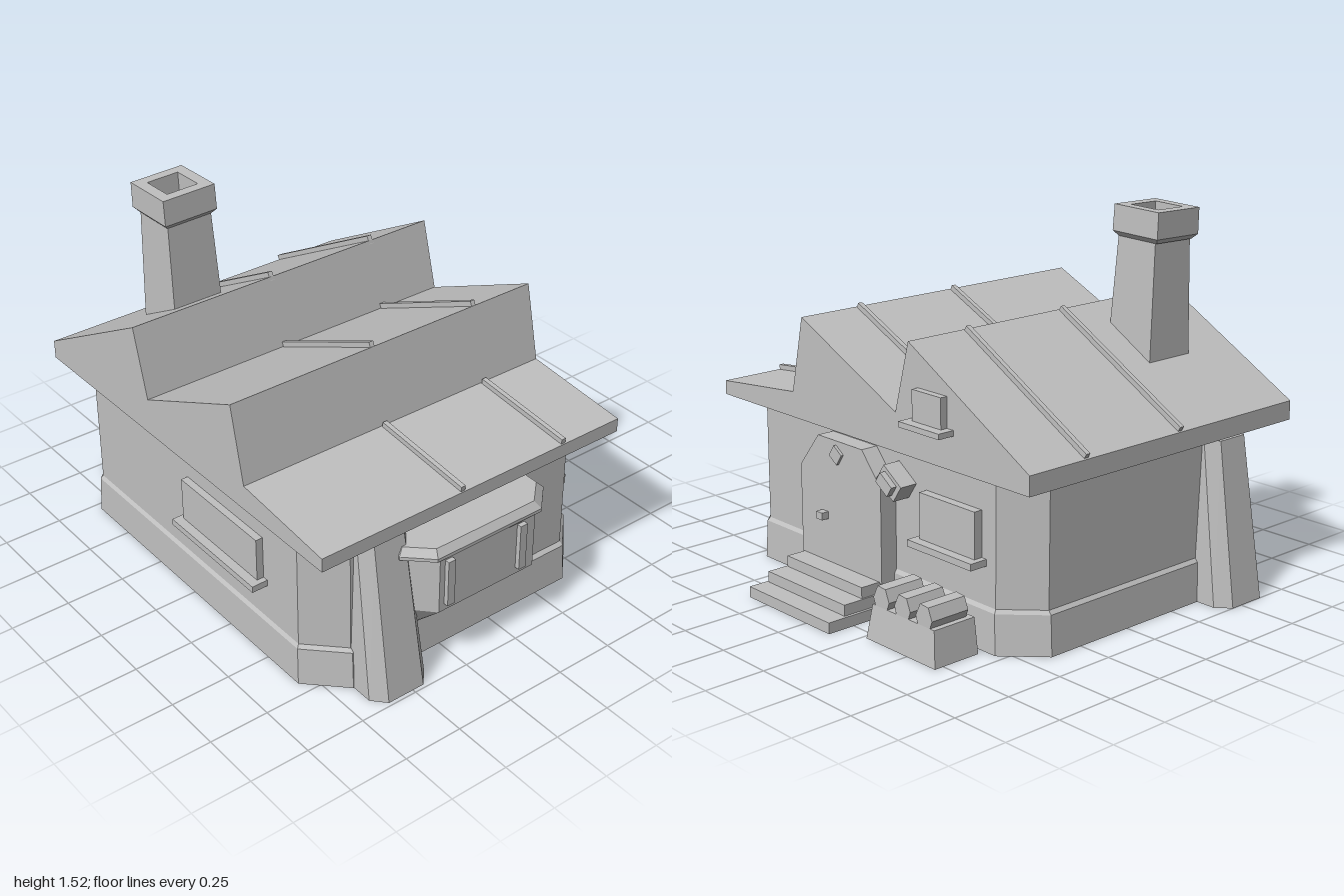
import * as THREE from 'three';

const stone = new THREE.MeshStandardMaterial({ color: 0xc0c0c0, side: THREE.DoubleSide });
stone.name = 'plain grey';

// Rings run front, right, back, left (counter-clockwise from above)
const rect = (x0, x1, z0, z1) => [[x0, z1], [x1, z1], [x1, z0], [x0, z0]];
const octagon = (x0, x1, z0, z1, c) => [
  [x0 + c, z1], [x1 - c, z1], [x1, z1 - c], [x1, z0 + c],
  [x1 - c, z0], [x0 + c, z0], [x0, z0 + c], [x0, z1 - c]];
// Projection from the +x wall with chamfered outer corners
const jut = (xi, xm, xo, z0, z1, c) => [
  [xi, z1], [xm, z1], [xo, z1 - c], [xo, z0 + c], [xm, z0], [xi, z0]];

// Faceted solid through rings given as [y, ring]
function loft(name, rings, capBottom = true, capTop = true) {
  const pos = [];
  const pts = rings.map(([y, r]) => r.map(([x, z]) => [x, y, z]));
  const tri = (a, b, c) => pos.push(...a, ...b, ...c);
  const n = pts[0].length;
  for (let j = 0; j < pts.length - 1; j++) {
    for (let i = 0; i < n; i++) {
      const k = (i + 1) % n;
      tri(pts[j][i], pts[j][k], pts[j + 1][k]);
      tri(pts[j][i], pts[j + 1][k], pts[j + 1][i]);
    }
  }
  const top = pts[pts.length - 1];
  for (let i = 1; i < n - 1; i++) {
    if (capTop) tri(top[0], top[i], top[i + 1]);
    if (capBottom) tri(pts[0][0], pts[0][i + 1], pts[0][i]);
  }
  const g = new THREE.BufferGeometry();
  g.setAttribute('position', new THREE.Float32BufferAttribute(pos, 3));
  g.computeVertexNormals();
  return named(name, g);
}

function named(name, geometry) {
  const m = new THREE.Mesh(geometry, stone);
  m.name = name;
  return m;
}

function box(name, x0, x1, y0, y1, z0, z1) {
  const m = named(name, new THREE.BoxGeometry(x1 - x0, y1 - y0, z1 - z0));
  m.position.set((x0 + x1) / 2, (y0 + y1) / 2, (z0 + z1) / 2);
  return m;
}

// Outline in x, y pulled along z
function extrude(name, points, z0, z1) {
  const shape = new THREE.Shape(points.map(([x, y]) => new THREE.Vector2(x, y)));
  const m = named(name, new THREE.ExtrudeGeometry(shape, { depth: z1 - z0, bevelEnabled: false }));
  m.position.z = z0;
  return m;
}

export function createModel() {
  const house = new THREE.Group();
  house.name = 'house';

  // Walls on a flared plinth, open underneath
  house.add(loft('walls', [
    [0, octagon(-0.86, 0.84, -0.548, 0.815, 0.147)],
    [0.16, octagon(-0.85, 0.83, -0.543, 0.81, 0.145)],
    [0.175, octagon(-0.837, 0.815, -0.533, 0.8, 0.137)],
    [0.67, octagon(-0.837, 0.815, -0.533, 0.8, 0.137)],
  ], false, false));

  // Sawtooth roof
  const slopes = [
    [[-0.92, 0.748], [-0.276, 1.11]],
    [[-0.2, 0.825], [0.366, 1.09]],
    [[0.434, 0.775], [0.9, 0.728]],
  ];
  house.add(extrude('roof', [[-0.92, 0.67], [0.9, 0.67], ...slopes.flat().reverse()], -0.58, 0.853));

  // Raised seams across each slope
  for (const [a, b] of slopes) {
    const dx = b[0] - a[0], dy = b[1] - a[1];
    for (const z of [-0.295, 0.205]) {
      const seam = named('roofSeam', new THREE.BoxGeometry(Math.hypot(dx, dy) - 0.01, 0.036, 0.02));
      seam.position.set((a[0] + b[0]) / 2, (a[1] + b[1]) / 2 + 0.003, z);
      seam.rotation.z = Math.atan2(dy, dx);
      house.add(seam);
    }
  }

  // Chimney with a hollow cap
  house.add(loft('chimneyStack', [
    [0.88, rect(-0.605, -0.375, 0.368, 0.597)],
    [1.41, rect(-0.596, -0.404, 0.395, 0.593)],
  ]));
  const flue = rect(-0.07, 0.07, -0.07, 0.07);
  const cap = loft('chimneyCap', [
    [-0.065, rect(-0.1, 0.1, -0.1, 0.1)],
    [-0.045, rect(-0.117, 0.117, -0.118, 0.118)],
    [0.06, rect(-0.115, 0.115, -0.117, 0.117)],
    [0.06, flue], [-0.04, flue],
  ]);
  cap.position.set(-0.506, 1.457, 0.495);
  cap.rotation.set(0.02, 0, 0.03);
  house.add(cap);

  // Leaning side buttresses, mirrored about the wall centre
  const low = jut(0.78, 0.93, 0.985, 0.4, 0.665, 0.05);
  const high = jut(0.76, 0.83, 0.88, 0.427, 0.645, 0.04);
  const mirror = r => r.map(([x, z]) => [-0.015 - x, z]).reverse();
  house.add(loft('rightSideButtress', [[0, low], [0.653, high]]));
  house.add(loft('leftSideButtress', [[0, mirror(low)], [0.653, mirror(high)]]));

  // Bay window on the +x wall
  const bay = new THREE.Group();
  bay.name = 'bayWindow';
  bay.add(loft('bayBody', [
    [0.16, jut(0.79, 0.82, 0.83, -0.11, 0.395, 0.02)],
    [0.3, jut(0.79, 0.89, 0.975, -0.17, 0.455, 0.08)],
    [0.54, jut(0.79, 0.89, 0.975, -0.17, 0.455, 0.08)],
  ]));
  bay.add(loft('bayCap', [
    [0.535, jut(0.79, 0.89, 0.975, -0.17, 0.455, 0.08)],
    [0.558, jut(0.79, 0.9, 0.997, -0.2, 0.505, 0.1)],
    [0.572, jut(0.79, 0.9, 0.997, -0.2, 0.505, 0.1)],
    [0.603, jut(0.79, 0.89, 0.975, -0.17, 0.485, 0.09)],
  ]));
  for (const z of [-0.035, 0.317]) bay.add(box('bayBar', 0.96, 0.995, 0.33, 0.53, z, z + 0.034));
  house.add(bay);

  // Flat windows and their sills
  house.add(
    box('frontWindow', -0.03, 0.465, 0.355, 0.538, 0.78, 0.83),
    box('frontSill', -0.05, 0.488, 0.328, 0.355, 0.78, 0.868),
    box('backWindow', -0.625, -0.32, 0.355, 0.538, -0.57, -0.51),
    box('backSill', -0.65, -0.295, 0.328, 0.355, -0.61, -0.51),
    box('gableWindow', -0.49, -0.33, 0.825, 0.945, -0.61, -0.57),
    box('gableSill', -0.525, -0.3, 0.803, 0.825, -0.652, -0.57));

  // Back door with clipped top corners, knob and tilted plaques
  house.add(extrude('door', [[-0.14, 0.13], [0.355, 0.13], [0.355, 0.5], [0.24, 0.645], [-0.03, 0.645], [-0.14, 0.52]], -0.608, -0.52));
  house.add(box('doorKnob', 0.185, 0.222, 0.312, 0.342, -0.64, -0.6));
  const plaque = (name, x, y, w, h, z, turn) => {
    const m = box(name, x - w / 2, x + w / 2, y - h / 2, y + h / 2, z, -0.52);
    m.rotation.z = turn;
    house.add(m);
  };
  plaque('doorDiamond', 0.12, 0.59, 0.055, 0.055, -0.62, 0.6);
  plaque('signBoard', -0.19, 0.55, 0.12, 0.08, -0.61, 0.6);
  plaque('signBoardTop', -0.19, 0.55, 0.08, 0.05, -0.635, 0.6);

  // Steps down from the door
  [[0.045, -0.87, -0.144, 0.362], [0.09, -0.785, -0.132, 0.352], [0.135, -0.695, -0.125, 0.345]]
    .forEach(([y, z, x0, x1]) => house.add(box('doorStep', x0, x1, 0, y, z, -0.53)));

  // Crate by the back wall holding three logs
  house.add(loft('crate', [
    [0, rect(-0.657, -0.268, -0.79, -0.58)],
    [0.14, rect(-0.637, -0.29, -0.775, -0.58)],
  ]));
  for (const x of [-0.58, -0.46, -0.34]) {
    house.add(extrude('log', [
      [x - 0.03, 0.13], [x + 0.03, 0.13], [x + 0.045, 0.17],
      [x + 0.02, 0.222], [x - 0.025, 0.218], [x - 0.045, 0.17]], -0.775, -0.6));
  }
  return house;
}
